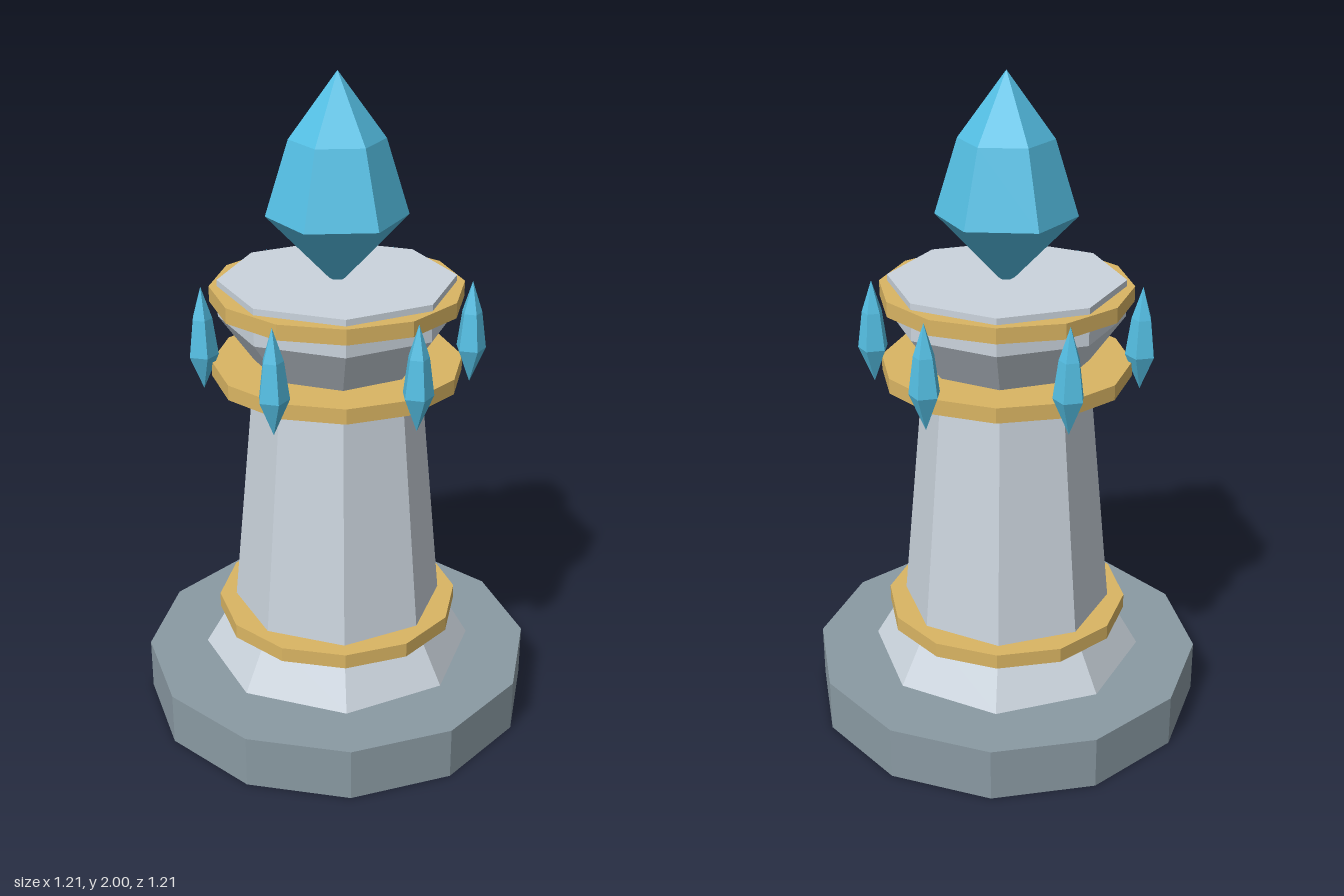
import * as THREE from 'three';

const mat = (name, color) => {
  const m = new THREE.MeshStandardMaterial({ color, flatShading: true });
  m.name = name;
  return m;
};

// Faceted solid turned from a [radius, height] profile, listed bottom to top
function turned(name, profile, sides, material, phase = 0) {
  const points = profile.map(([r, y]) => new THREE.Vector2(r, y));
  const mesh = new THREE.Mesh(new THREE.LatheGeometry(points, sides, phase), material);
  mesh.name = name;
  return mesh;
}

export function createModel() {
  const group = new THREE.Group();
  group.name = 'crystalPillar';

  const slate = mat('slate', 0x8a9aa3);
  const stone = mat('paleStone', 0xcbd4dd);
  const gold = mat('gold', 0xdab563);
  const blue = mat('blueCrystal', 0x55c0e5);

  // Plain drum, closed top and bottom
  const drum = (name, r, y0, y1, sides, material) =>
    turned(name, [[0, y0], [r, y0], [r, y1], [0, y1]], sides, material);

  // Pointed crystal with one facet corner toward +x
  const crystal = (name, r, y0, y1, sides) => {
    const at = (t) => y0 + (y1 - y0) * t;
    const profile = [[0, y0], [r, at(0.34)], [r * 0.67, at(0.695)], [0, y1]];
    return turned(name, profile, sides, blue, Math.PI / 2);
  };

  // Twelve-sided plinth
  group.add(drum('base', 0.607, 0, 0.165, 12, slate));

  // Eight-sided foot, tapering shaft and flared capital
  group.add(turned('foot', [[0, 0.165], [0.423, 0.165], [0.325, 0.335], [0, 0.335]], 8, stone));
  group.add(turned('shaft', [[0.326, 0.32], [0.248, 1.145]], 8, stone));
  group.add(turned('capital', [[0, 1.13], [0.24, 1.135], [0.352, 1.288], [0.352, 1.4], [0, 1.4]], 8, stone));

  // Gold bands
  [['lowerBand', 0.295], ['middleBand', 1.1], ['upperBand', 1.335]].forEach(([name, y]) =>
    group.add(drum(name, 0.376, y, y + 0.046, 12, gold)));

  // Large crystal on top
  group.add(crystal('mainCrystal', 0.208, 1.375, 2, 6));

  // Six small crystals around the capital, all facing the same way
  for (let i = 0; i < 6; i++) {
    const a = (i * Math.PI) / 3;
    const shard = crystal('smallCrystal' + (i + 1), 0.047, 1.06, 1.38, 5);
    shard.position.set(Math.cos(a) * 0.4, 0, Math.sin(a) * 0.4);
    group.add(shard);
  }

  return group;
}
